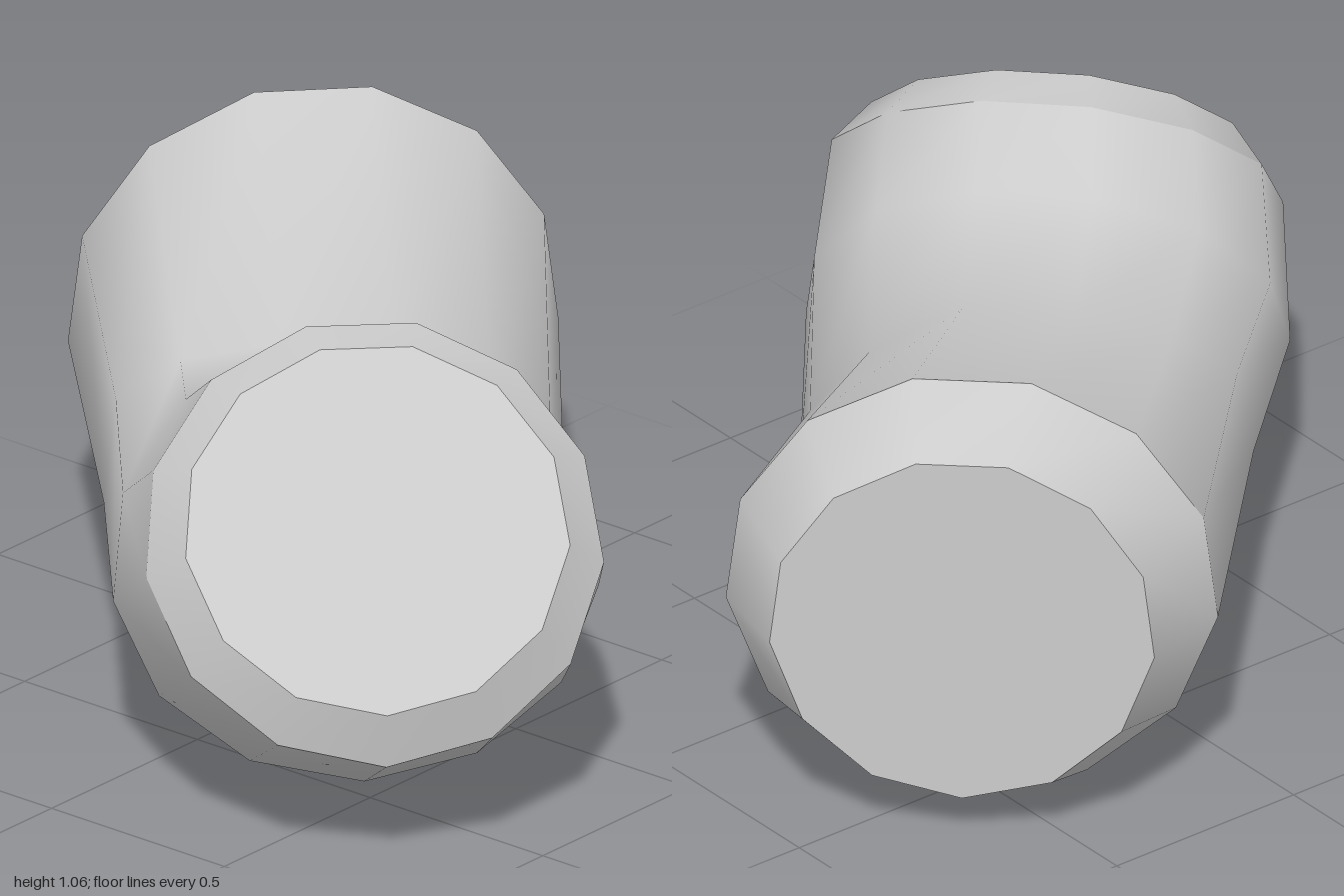
import * as THREE from 'three';

const SIDES = 13;

// One cross-section. Local z runs along the elbow, x across it.
// center, up and down are [z, y]; width is the half width.
// power shapes the upper half, shift moves the ring sideways, skew turns it.
function ring(center, up, down, width, { power = 1, shift = 0, skew = 0 } = {}) {
  const points = [];
  for (let k = 0; k < SIDES; k++) {
    const a = (2 * Math.PI * k) / SIDES; // starts at the bottom
    const c = Math.cos(a);
    const x = width * Math.sin(a);
    const dir = c > 0 ? down : up;
    const f = c > 0 ? c : Math.pow(-c, power);
    points.push([x + shift, center[1] + dir[1] * f, center[0] + dir[0] * f + skew * x]);
  }
  return points;
}

// Round ring whose plane leans back by the given angle
function roundRing(z, y, r, tilt, width, skew = 0) {
  const v = [-r * Math.sin(tilt), r * Math.cos(tilt)];
  return ring([z, y], v, [-v[0], -v[1]], width, { skew });
}

function finish(points, index, name, material) {
  const geo = new THREE.BufferGeometry();
  geo.setAttribute('position', new THREE.Float32BufferAttribute(points.flat(), 3));
  geo.setIndex(index);
  geo.computeVertexNormals();
  const mesh = new THREE.Mesh(geo, material);
  mesh.name = name;
  return mesh;
}

// Smooth skin over rings ordered from back to front
function skin(rings, name, material) {
  const index = [];
  for (let i = 0; i < rings.length - 1; i++) {
    for (let k = 0; k < SIDES; k++) {
      const n = (k + 1) % SIDES;
      const a = i * SIDES + k, b = i * SIDES + n;
      index.push(a, b, b + SIDES, a, b + SIDES, a + SIDES);
    }
  }
  return finish(rings.flat(), index, name, material);
}

// Flat end face
function cap(points, front, name, material) {
  const index = [];
  for (let k = 1; k < SIDES - 1; k++) {
    index.push(0, front ? k : k + 1, front ? k + 1 : k);
  }
  return finish(points, index, name, material);
}

export function createModel() {
  const model = new THREE.Group();
  model.name = 'bentSegment';
  const material = new THREE.MeshStandardMaterial({ color: 0xcccccc });
  const tilt = THREE.MathUtils.degToRad(40.5);

  const backFace = roundRing(-0.983, 0.537, 0.432, 0, 0.43, -0.033);
  const backRim = roundRing(-0.788, 0.546, 0.53, 0, 0.55, -0.033);
  // The inside of the bend is pinched, deeper on its left flank
  const valley = ring([0.07, 0.5], [-0.07, 0.295], [0.08, -0.5], 0.53, { power: 0.55, shift: -0.008, skew: 0.09 })
    .map(([x, y, z]) => (x > 0 ? [x * 0.94, y - 1.35 * x * x * y, z] : [x, y, z]));
  const bend = ring([0.52, 0.475], [-0.24, 0.455], [0.25, -0.408], 0.543, { shift: -0.018 });
  const frontRim = roundRing(0.8, 0.655, 0.52, tilt, 0.512);
  const frontFace = roundRing(0.88, 0.722, 0.432, tilt, 0.43);

  // The elbow lies diagonally
  const elbow = new THREE.Group();
  elbow.name = 'elbow';
  elbow.rotation.y = Math.PI / 4;
  elbow.add(
    skin([backRim, valley, bend, frontRim], 'body', material),
    skin([backFace, backRim], 'backBevel', material),
    skin([frontRim, frontFace], 'frontBevel', material),
    cap(backFace, false, 'backFace', material),
    cap(frontFace, true, 'frontFace', material),
  );
  model.add(elbow);
  return model;
}
